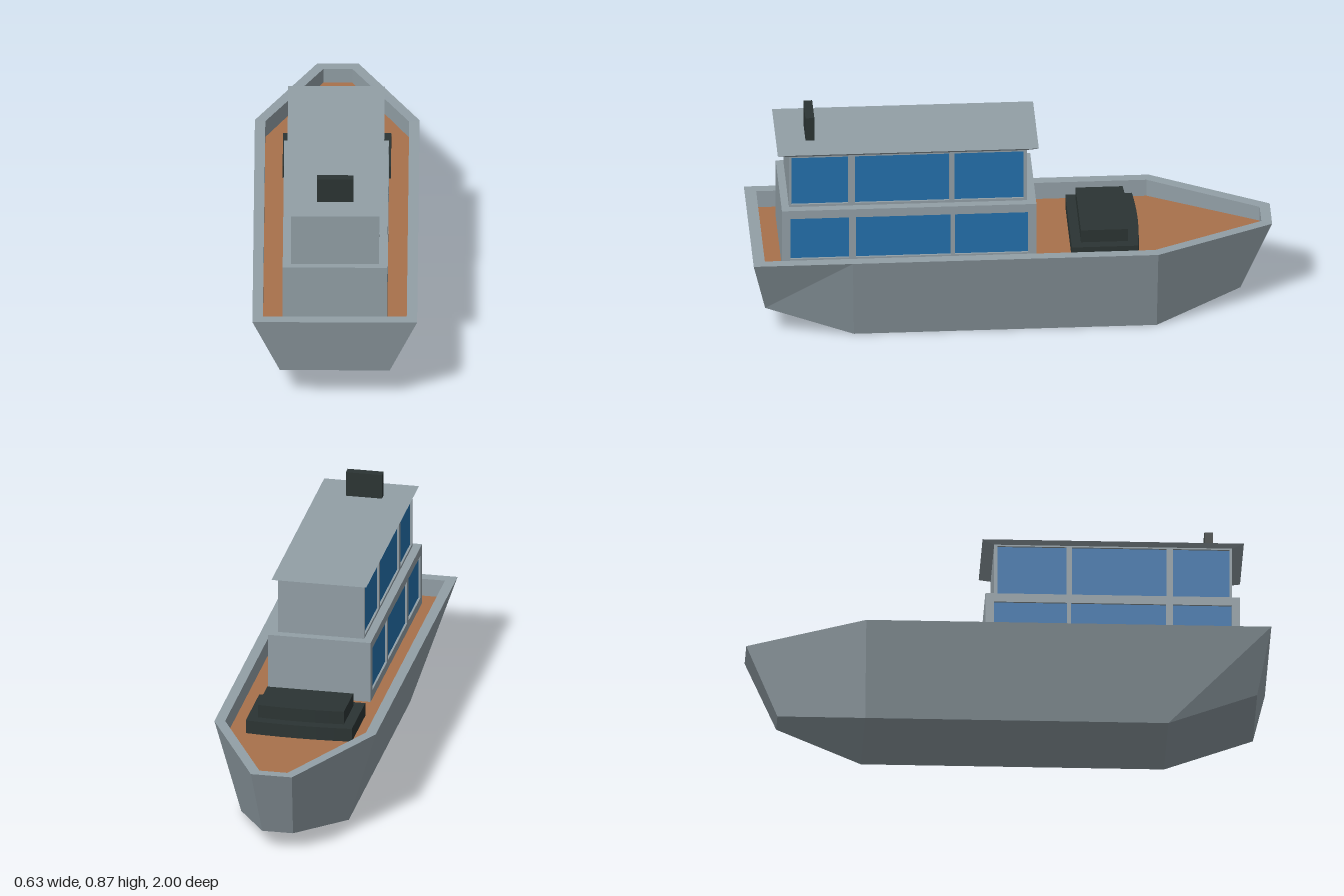
import * as THREE from 'three';

const mat = (name, color) => {
  const m = new THREE.MeshStandardMaterial({ color });
  m.name = name;
  return m;
};

export function createModel() {
  const grey = mat('hull grey', 0x929fa6);
  const wood = mat('deck wood', 0xa8714b);
  const glass = mat('window blue', 0x2470ab);
  const dark = mat('dark fittings', 0x2b3433);
  const boat = new THREE.Group();
  boat.name = 'boat';

  const add = (name, geometry, material, x = 0, y = 0, z = 0, parent = boat) => {
    const mesh = new THREE.Mesh(geometry, material);
    mesh.name = name;
    mesh.position.set(x, y, z);
    parent.add(mesh);
    return mesh;
  };
  // Box given by half width, y range and z range
  const block = (name, hw, y0, y1, z0, z1, material, parent, x = 0) =>
    add(name, new THREE.BoxGeometry(hw * 2, y1 - y0, z1 - z0), material, x, (y0 + y1) / 2, (z0 + z1) / 2, parent);
  // Flat-shaded surface from a list of quads
  const quadGeometry = (quads) => {
    const g = new THREE.BufferGeometry();
    const pos = quads.flatMap(([a, b, c, d]) => [a, b, c, a, c, d]).flat();
    g.setAttribute('position', new THREE.Float32BufferAttribute(pos, 3));
    g.computeVertexNormals();
    return g;
  };

  // Hull sections from stern to bow: bottom x,y,z, rail x,y,z, inner rail x,z
  const deckY = 0.295;
  const sections = [
    [0.21, 0.125, 0.95, 0.315, 0.365, 1, 0.275, 0.955],
    [0.21, 0, 0.61, 0.315, 0.365, 0.62, 0.275, 0.62],
    [0.21, 0, -0.55, 0.315, 0.365, -0.55, 0.275, -0.54],
    [0.06, 0.07, -0.88, 0.08, 0.355, -1, 0.055, -0.96],
  ].map(([bx, by, bz, tx, ty, tz, ix, iz]) => {
    const half = [[bx, by, bz], [tx, ty, tz], [ix, ty, iz], [ix, deckY, iz]];
    return [...half, ...half.map(([x, y, z]) => [-x, y, z]).reverse()];
  });
  const hullQuads = [], deckQuads = [];
  for (let i = 0; i < 3; i++) {
    const a = sections[i], b = sections[i + 1];
    for (let k = 0; k < 8; k++) {
      const n = (k + 1) % 8;
      (k === 3 ? deckQuads : hullQuads).push([a[k], b[k], b[n], a[n]]);
    }
  }
  // Transom and bow plate, each with rail top and inner face
  const stern = sections[0], bow = sections[3];
  for (let k = 0; k < 3; k++) {
    hullQuads.push([stern[k], stern[k + 1], stern[6 - k], stern[7 - k]]);
    hullQuads.push([bow[7 - k], bow[6 - k], bow[k + 1], bow[k]]);
  }
  add('hull', quadGeometry(hullQuads), grey);
  add('deck', quadGeometry(deckQuads), wood);

  // Cabin storey: solid core, window glass and framed side walls
  const recess = 0.012;
  const storey = (name, hw, y0, y1, z0, z1, winY0, winY1, windows) => {
    const group = new THREE.Group();
    group.name = name;
    boat.add(group);
    block('cabinCore', hw - recess, y0, y1, z0, z1, grey, group);
    const wall = new THREE.Shape();
    wall.moveTo(z0, y0).lineTo(z1, y0).lineTo(z1, y1).lineTo(z0, y1).closePath();
    for (const [a, b] of windows) {
      const hole = new THREE.Path();
      hole.moveTo(a, winY0).lineTo(a, winY1).lineTo(b, winY1).lineTo(b, winY0).closePath();
      wall.holes.push(hole);
    }
    const frame = new THREE.ExtrudeGeometry(wall, { depth: recess, bevelEnabled: false });
    frame.rotateY(-Math.PI / 2);
    for (const side of [1, -1]) {
      add('windowFrame', frame, grey, side > 0 ? hw : -hw + recess, 0, 0, group);
      for (const [a, b] of windows) {
        block('windowGlass', 0.002, winY0, winY1, a, b, glass, group, side * (hw - recess + 0.002));
      }
    }
  };
  storey('lowerCabin', 0.2, deckY, 0.54, -0.09, 0.885, 0.33, 0.505,
    [[-0.057, 0.222], [0.238, 0.602], [0.628, 0.853]]);
  storey('upperCabin', 0.168, 0.54, 0.762, -0.055, 0.856, 0.55, 0.754,
    [[-0.043, 0.222], [0.242, 0.604], [0.63, 0.846]]);

  // Roof slab flaring out to a sharp upper edge
  const roof = new THREE.BoxGeometry(0.37, 0.014, 1.0).toNonIndexed();
  const p = roof.attributes.position;
  for (let i = 0; i < p.count; i++) {
    if (p.getY(i) < 0) p.setXYZ(i, p.getX(i) * 0.91, p.getY(i), p.getZ(i) * 0.915);
  }
  roof.computeVertexNormals();
  add('roof', roof, grey, 0, 0.767, 0.4);

  // Funnel
  block('funnel', 0.07, 0.77, 0.872, 0.753, 0.787, dark);

  // Two-tier fore hatch with a bowed forward edge
  const hatch = (name, hw, y0, y1, zAft, zFore, bulge) => {
    const s = new THREE.Shape();
    s.moveTo(-hw, -zAft).lineTo(hw, -zAft).lineTo(hw, -zFore);
    s.quadraticCurveTo(0, -zFore + bulge * 2, -hw, -zFore);
    const g = new THREE.ExtrudeGeometry(s, { depth: y1 - y0, bevelEnabled: false, curveSegments: 6 });
    g.rotateX(-Math.PI / 2);
    add(name, g, dark, 0, y0, 0);
  };
  hatch('hatchBase', 0.207, deckY, 0.348, -0.225, -0.48, 0.01);
  hatch('hatchLid', 0.168, 0.348, 0.4, -0.262, -0.442, 0.008);

  return boat;
}
